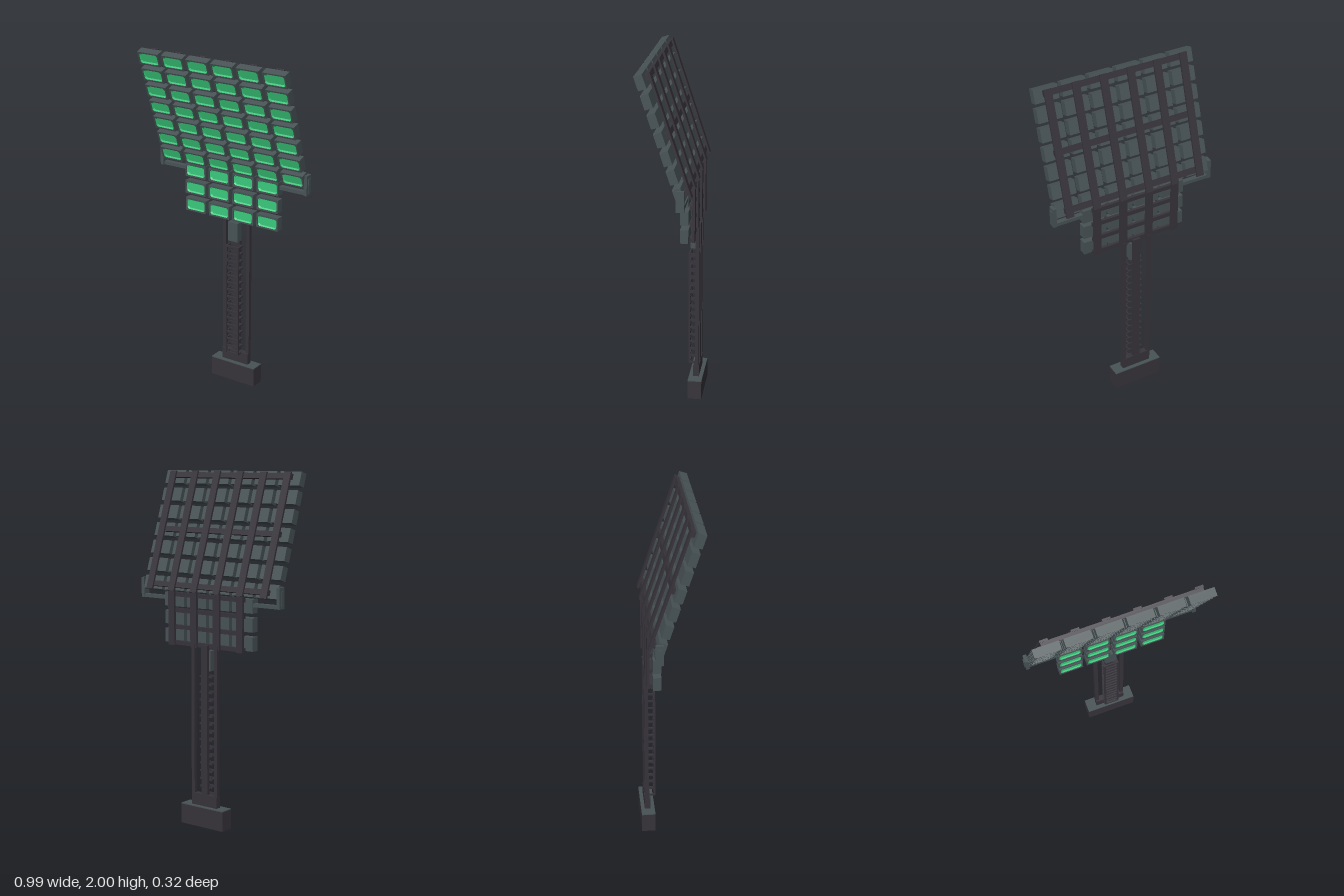
import * as THREE from 'three';

const mat = (name, color, side = THREE.FrontSide) => {
  const m = new THREE.MeshStandardMaterial({ color, side });
  m.name = name;
  return m;
};

export function createModel() {
  const root = new THREE.Group();
  root.name = 'floodlightTower';
  const steel = mat('dark steel', 0x37343b);
  const housing = mat('grey housing', 0x485356);
  const green = mat('green lens', 0x3bcd7e, THREE.DoubleSide);

  // Box given by its min and max on each axis
  const box = (parent, name, m, x0, x1, y0, y1, z0, z1) => {
    const b = new THREE.Mesh(new THREE.BoxGeometry(x1 - x0, y1 - y0, z1 - z0), m);
    b.position.set((x0 + x1) / 2, (y0 + y1) / 2, (z0 + z1) / 2);
    b.name = name;
    parent.add(b);
    return b;
  };

  // Octagonal outline: rectangle with cut corners
  const octagon = (w, h, c) => [
    [-w + c, -h], [w - c, -h], [w, -h + c], [w, h - c],
    [w - c, h], [-w + c, h], [-w, h - c], [-w, -h + c],
  ].map(([x, y]) => new THREE.Vector2(x, y));

  // Lamp: solid back, hollow front frame, sunken green lens with sloped sides
  const W = 0.07, H = 0.039, D = 0.046, RIM = 0.012;
  const rimShape = new THREE.Shape(octagon(W, H, 0.0005));
  rimShape.holes.push(new THREE.Path(octagon(0.062, 0.031, 0.01).reverse()));
  const rimGeo = new THREE.ExtrudeGeometry(rimShape, { depth: RIM, bevelEnabled: false });
  const backGeo = new THREE.BoxGeometry(2 * W, 2 * H, D - RIM);

  const outer = octagon(0.062, 0.031, 0.01), inner = octagon(0.054, 0.024, 0.008);
  const tri = [];
  const push = (p, z) => tri.push(p.x, p.y, z);
  outer.forEach((a, i) => {
    const j = (i + 1) % 8, b = outer[j], c = inner[j], d = inner[i];
    push(a, 0.008); push(b, 0.008); push(c, 0.002);
    push(a, 0.008); push(c, 0.002); push(d, 0.002);
    push(d, 0.002); push(c, 0.002); push(new THREE.Vector2(), 0.002);
  });
  const lensGeo = new THREE.BufferGeometry();
  lensGeo.setAttribute('position', new THREE.Float32BufferAttribute(tri, 3));
  lensGeo.computeVertexNormals();

  const addLamp = (parent, x, y, z) => {
    const lamp = new THREE.Group();
    lamp.name = 'lamp';
    const back = new THREE.Mesh(backGeo, housing);
    back.name = 'lampBody';
    back.position.z = -RIM / 2;
    const rim = new THREE.Mesh(rimGeo, housing);
    rim.name = 'lampRim';
    const lens = new THREE.Mesh(lensGeo, green);
    lens.name = 'lampLens';
    rim.position.z = lens.position.z = D / 2 - RIM;
    lamp.add(back, rim, lens);
    lamp.position.set(x, y, z);
    parent.add(lamp);
  };

  // Foot
  box(root, 'base', steel, -0.15, 0.15, 0, 0.112, -0.16, -0.08);
  box(root, 'baseTop', housing, -0.15, 0.15, 0.112, 0.117, -0.16, -0.08);
  box(root, 'plinth', steel, -0.09, 0.09, 0.117, 0.185, -0.138, -0.104);

  // Mast: two outer posts and a middle post
  for (const s of [-1, 1]) {
    box(root, 'outerPost', steel, s * 0.081 - 0.011, s * 0.081 + 0.011, 0.18, 1.04, -0.136, -0.114);
  }
  box(root, 'middlePost', steel, -0.022, 0.022, 0.18, 1.04, -0.136, -0.114);
  box(root, 'controlBox', housing, -0.033, 0.033, 0.895, 1.01, -0.12, -0.078);

  // Ladder with rungs and stand-offs to the mast
  const ladder = new THREE.Group();
  ladder.name = 'ladder';
  root.add(ladder);
  for (const s of [-1, 1]) {
    box(ladder, 'ladderRail', steel, s * 0.04 - 0.005, s * 0.04 + 0.005, 0.18, 0.868, -0.08, -0.07);
  }
  for (let i = 0; i < 16; i++) {
    const y = 0.182 + i * 0.0453;
    box(ladder, 'rung', steel, -0.04, 0.04, y - 0.005, y + 0.005, -0.08, -0.071);
    for (const s of [-1, 1]) {
      box(ladder, 'standOff', steel, s * 0.04 - 0.004, s * 0.04 + 0.004, y - 0.005, y + 0.005, -0.12, -0.075);
    }
    box(ladder, 'rearRung', steel, -0.044, 0.044, y - 0.005, y + 0.005, -0.122, -0.114);
  }

  // Lower upright panel: 4 columns by 3 rows
  const lower = new THREE.Group();
  lower.name = 'lowerPanel';
  root.add(lower);
  const columns = [-0.405, -0.243, -0.081, 0.081, 0.243, 0.405];
  for (const x of columns.slice(1, 5)) {
    box(lower, 'lowerUpright', steel, x - 0.022, x + 0.022, 1.02, 1.34, -0.132, -0.118);
    for (const y of [1.07, 1.175, 1.278]) addLamp(lower, x, y, -0.08);
  }
  for (const y of [1.035, 1.125, 1.22, 1.31]) {
    box(lower, 'lowerCrossbar', steel, -0.265, 0.265, y - 0.012, y + 0.012, -0.12, -0.102);
  }

  // Upper panel: 6 columns by 7 rows, leaning forward about its lowest row
  const upper = new THREE.Group();
  upper.name = 'upperPanel';
  upper.position.set(0, 1.36, -0.072);
  upper.rotation.x = 0.318;
  root.add(upper);
  const pitch = 0.1045;
  for (const x of columns) {
    box(upper, 'upperUpright', steel, x - 0.022, x + 0.022, -0.047, 0.655, -0.053, -0.041);
    for (let r = 0; r < 7; r++) addLamp(upper, x, r * pitch, 0);
  }
  for (const y of [-0.01, 0.312, 0.634]) {
    box(upper, 'upperCrossbar', steel, -0.425, 0.425, y - 0.015, y + 0.015, -0.043, -0.021);
  }

  // Side brackets under the outer columns
  for (const s of [-1, 1]) {
    const bracket = new THREE.Group();
    bracket.name = 'sideBracket';
    const span = (name, a, b, ...rest) =>
      box(bracket, name, housing, Math.min(s * a, s * b), Math.max(s * a, s * b), ...rest);
    span('bracketArm', 0.3, 0.49, 1.275, 1.295, -0.1, -0.07);
    span('bracketEnd', 0.472, 0.492, 1.275, 1.39, -0.104, -0.06);
    span('bracketBolt', 0.49, 0.497, 1.29, 1.37, -0.092, -0.072);
    root.add(bracket);
  }
  return root;
}
